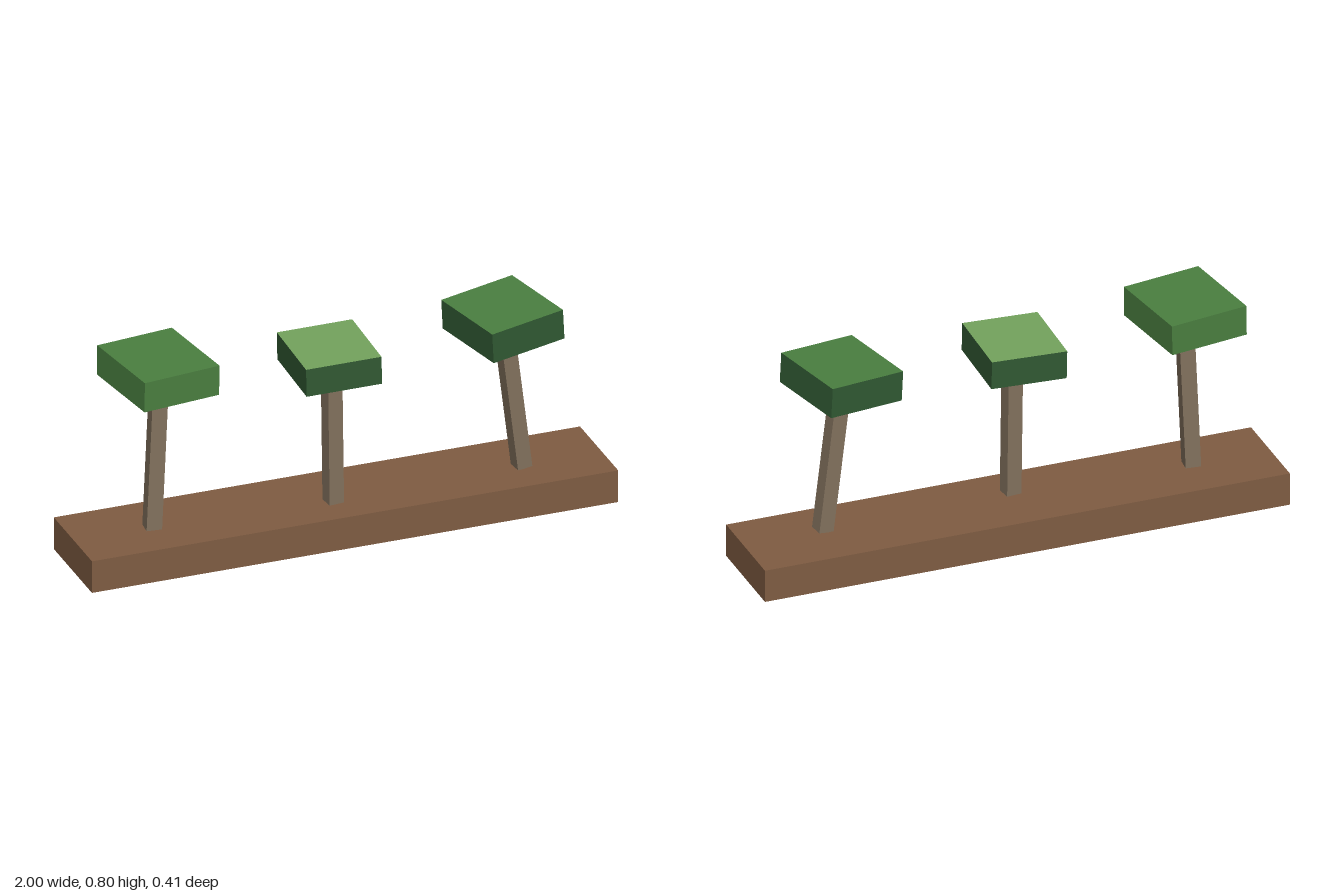
import * as THREE from 'three';

const mat = (name, color) =>
  new THREE.MeshStandardMaterial({ name, color, side: THREE.DoubleSide });

// Index ranges of a plain box: four walls, and the top face
const WALLS = [[0, 12], [24, 36]];
const TOP = [[12, 18]];

// Box that keeps only the chosen faces
function boxFaces(w, h, d, ranges) {
  const g = new THREE.BoxGeometry(w, h, d);
  const index = Array.from(g.index.array);
  g.setIndex(ranges.flatMap(([a, b]) => index.slice(a, b)));
  g.clearGroups();
  return g;
}

function mesh(name, geometry, material) {
  const m = new THREE.Mesh(geometry, material);
  m.name = name;
  return m;
}

// Hollow box with an open underside
function openBox(name, [w, h, d], wallMat, topMat) {
  const g = new THREE.Group();
  g.name = name;
  g.add(mesh(name + 'Walls', boxFaces(w, h, d, WALLS), wallMat));
  g.add(mesh(name + 'Top', boxFaces(w, h, d, TOP), topMat));
  return g;
}

export function createModel() {
  const model = new THREE.Group();
  model.name = 'treeRow';

  const soil = mat('soilBrown', 0x7f5c42);
  const bark = mat('barkGrey', 0x82715d);
  const dark = mat('darkGreen', 0x315933);
  const mid = mat('midGreen', 0x4a7f40);
  const light = mat('lightGreen', 0x73a35d);

  // Planter base
  const base = openBox('base', [2, 0.125, 0.375], soil, soil);
  base.position.set(0, 0.0625, -0.022);
  model.add(base);

  const trees = [
    { name: 'rightTree', foot: [-0.702, 0.123, -0.013], tip: [-0.677, 0.686, -0.012], twist: -0.1,
      size: [0.303, 0.115, 0.346], at: [-0.68, 0.743, -0.011], yaw: 0.14, tilt: -0.012, walls: mid, top: mid },
    { name: 'middleTree', foot: [-0.029, 0.123, 0.026], tip: [-0.035, 0.638, 0.025], twist: 0.1,
      size: [0.283, 0.107, 0.316], at: [-0.042, 0.691, 0.022], yaw: -0.035, tilt: 0.02, walls: dark, top: light },
    { name: 'leftTree', foot: [0.695, 0.126, 0.005], tip: [0.627, 0.664, 0.012], twist: 0.1,
      size: [0.3, 0.115, 0.33], at: [0.621, 0.721, 0.012], yaw: 0.21, tilt: 0.055, walls: dark, top: mid },
  ];

  for (const t of trees) {
    const tree = new THREE.Group();
    tree.name = t.name;

    // Leaning square trunk
    const foot = new THREE.Vector3(...t.foot);
    const tip = new THREE.Vector3(...t.tip);
    const axis = tip.clone().sub(foot);
    const trunk = mesh('trunk', boxFaces(0.057, axis.length(), 0.057, WALLS), bark);
    trunk.position.copy(foot).add(tip).multiplyScalar(0.5);
    trunk.quaternion.setFromUnitVectors(new THREE.Vector3(0, 1, 0), axis.normalize());
    trunk.rotateY(t.twist);
    tree.add(trunk);

    // Flat block of leaves
    const canopy = openBox('canopy', t.size, t.walls, t.top);
    canopy.position.set(...t.at);
    canopy.rotation.set(0, t.yaw, t.tilt, 'YXZ');
    tree.add(canopy);

    model.add(tree);
  }
  return model;
}
